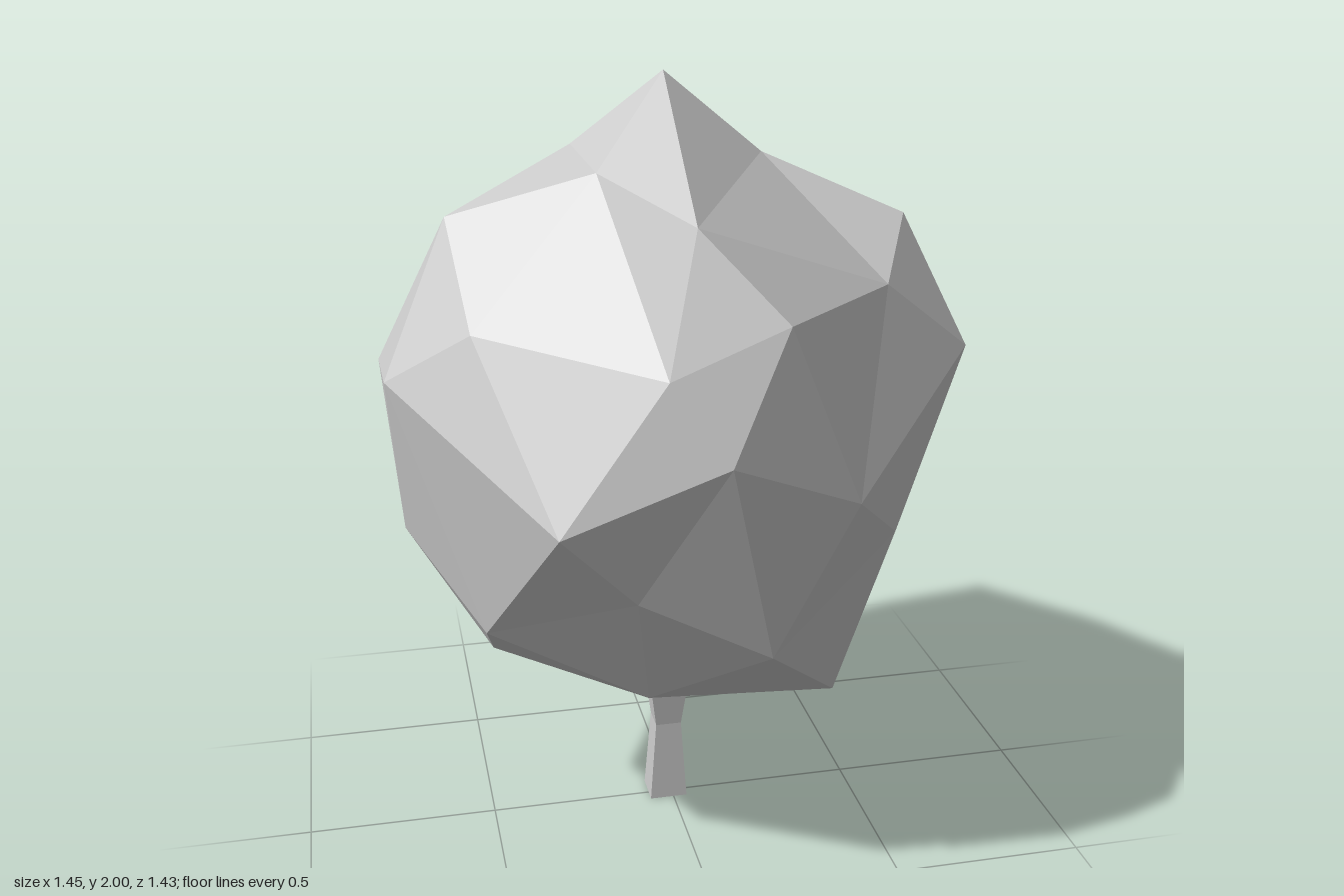
import * as THREE from 'three';

const material = new THREE.MeshStandardMaterial({ color: 0xcccccc, flatShading: true });

// Unshared triangles from a list of corner points
function facetedMesh(name, corners) {
  const geometry = new THREE.BufferGeometry();
  geometry.setAttribute('position', new THREE.Float32BufferAttribute(corners.flat(), 3));
  geometry.computeVertexNormals();
  const mesh = new THREE.Mesh(geometry, material);
  mesh.name = name;
  return mesh;
}

// Crown: a once-subdivided icosahedron with uneven vertices,
// given as rings that run from +x round towards +z
function createCrown() {
  const top = [-0.02, 2, 0], bottom = [-0.02, 0.365, 0];
  const cap = [[0.23, 1.795, -0.015], [-0.06, 1.74, 0.55], [-0.22, 1.8, 0.21], [-0.22, 1.8, -0.19], [-0.06, 1.72, -0.57]];
  const upper = [
    [0.577, 1.645, 0.07], [0.47, 1.52, 0.28], [0.116, 1.55, 0.68], [-0.14, 1.43, 0.64], [-0.53, 1.46, 0.3],
    [-0.56, 1.685, 0.07], [-0.53, 1.415, -0.41], [-0.14, 1.435, -0.69], [0.12, 1.55, -0.715], [0.47, 1.47, -0.4],
  ];
  const middle = [
    [0.725, 1.32, 0.17], [0.3, 1.115, 0.643], [-0.016, 1.25, 0.715], [-0.386, 1.085, 0.643], [-0.727, 1.32, 0.17],
    [-0.727, 1.24, -0.28], [-0.384, 1.09, -0.633], [-0.016, 1.255, -0.657], [0.3, 1.115, -0.633], [0.725, 1.235, -0.28],
  ];
  const lower = [
    [0.587, 0.925, -0.06], [0.5, 0.9, 0.34], [0.12, 0.713, 0.585], [-0.2, 0.88, 0.575], [-0.525, 0.71, 0.31],
    [-0.695, 0.895, 0.05], [-0.525, 0.785, -0.386], [-0.207, 0.885, -0.717], [0.12, 0.73, -0.68], [0.5, 0.92, -0.385],
  ];
  const base = [[0.386, 0.413, 0.24], [-0.14, 0.53, 0.39], [-0.48, 0.485, -0.04], [-0.14, 0.55, -0.45], [0.386, 0.413, -0.27]];

  const corners = [];
  // One large triangle split in four by its edge points
  const split = (p, q, r, pq, qr, rp) =>
    corners.push(p, pq, rp, pq, q, qr, rp, qr, r, pq, qr, rp);
  const at = (ring, i) => ring[i % ring.length];

  for (let k = 0; k < 5; k++) {
    const i = 2 * k;
    split(top, at(upper, i + 2), upper[i], at(cap, k + 1), upper[i + 1], cap[k]);
    split(upper[i], at(upper, i + 2), lower[i + 1], upper[i + 1], middle[i + 1], middle[i]);
    split(at(upper, i + 2), at(lower, i + 3), lower[i + 1], at(middle, i + 2), at(lower, i + 2), middle[i + 1]);
    split(lower[i + 1], at(lower, i + 3), bottom, at(lower, i + 2), at(base, k + 1), base[k]);
  }
  return facetedMesh('crown', corners);
}

// Trunk: square post, pinched at mid height and flaring into the crown
function createTrunk() {
  // [y, x min, x max, z min, z max]
  const rings = [
    [0, -0.065, 0.037, -0.06, 0.034],
    [0.23, -0.048, 0.022, -0.048, 0.026],
    [0.4, -0.07, 0.045, -0.062, 0.042],
  ].map(([y, x0, x1, z0, z1]) => [[x0, y, z1], [x1, y, z1], [x1, y, z0], [x0, y, z0]]);

  const corners = [];
  const quad = (a, b, c, d) => corners.push(a, b, c, a, c, d);
  for (let r = 0; r < 2; r++) {
    for (let i = 0; i < 4; i++) {
      const j = (i + 1) % 4;
      quad(rings[r][i], rings[r][j], rings[r + 1][j], rings[r + 1][i]);
    }
  }
  quad(...[...rings[0]].reverse());
  quad(...rings[2]);
  return facetedMesh('trunk', corners);
}

export function createModel() {
  const tree = new THREE.Group();
  tree.name = 'tree';
  tree.add(createCrown(), createTrunk());
  return tree;
}
